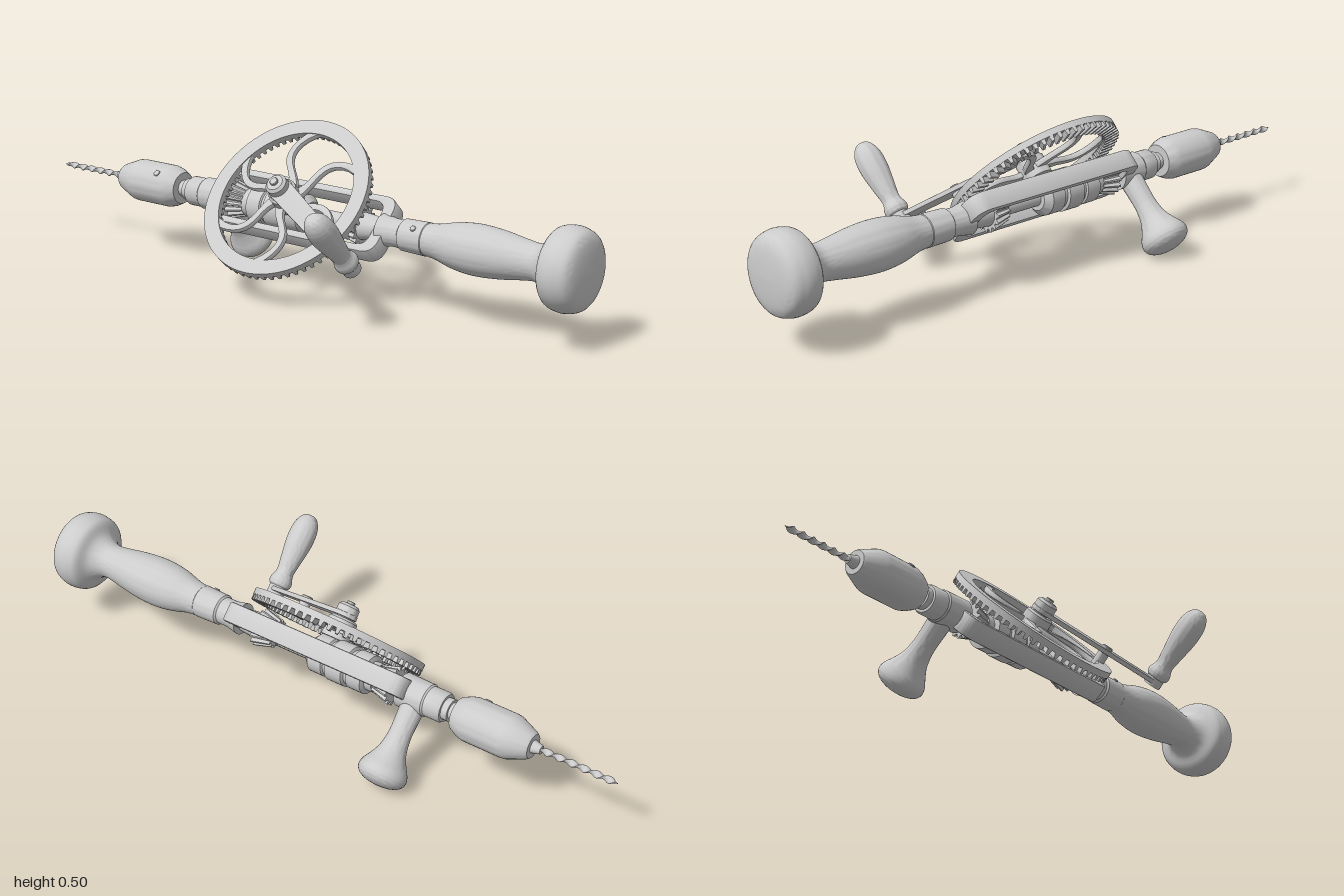
import * as THREE from 'three';
import { toCreasedNormals, mergeGeometries } from 'three/addons/utils/BufferGeometryUtils.js';

const mat = new THREE.MeshStandardMaterial({ color: 0xcccccc });
const GEAR_X = -0.015;

export function createModel() {
  const model = new THREE.Group();
  model.name = 'handDrill';
  // The tool lies rolled 45 degrees about its long (x) axis
  const drill = new THREE.Group();
  drill.name = 'drillBody';
  drill.position.set(0, 0.2325, -0.0975);
  drill.rotation.x = -Math.PI / 4;
  model.add(drill);

  const add = (name, geo, x = 0, y = 0, z = 0) => {
    const mesh = new THREE.Mesh(geo, mat);
    mesh.name = name;
    mesh.position.set(x, y, z);
    drill.add(mesh);
    return mesh;
  };
  // Turned parts: profile points are [radius, position along axis], ascending
  const turned = (pts, axis, smooth = false, seg = 40) => {
    let p = pts.map(([r, a]) => new THREE.Vector2(r, a));
    if (smooth) p = new THREE.SplineCurve(p).getPoints(48).map(v => new THREE.Vector2(Math.max(v.x, 0), v.y));
    const g = toCreasedNormals(new THREE.LatheGeometry(p, seg), 0.6);
    return axis === 'x' ? g.rotateZ(-Math.PI / 2) : g.rotateX(Math.PI / 2);
  };
  const rod = (r, z0, z1, seg = 24) => turned([[0, z0], [r, z0], [r, z1 - r * 0.15], [r * 0.85, z1], [0, z1]], 'z', false, seg);
  const extrude = (shape, depth, bevel = 0) => toCreasedNormals(new THREE.ExtrudeGeometry(shape, {
    depth, curveSegments: 20, bevelEnabled: bevel > 0, bevelSize: bevel, bevelThickness: bevel, bevelOffset: -bevel, bevelSegments: 2,
  }), 0.6);
  const roundRect = (S, w, h, r) => {
    const s = new S();
    s.moveTo(-w + r, -h);
    s.lineTo(w - r, -h).quadraticCurveTo(w, -h, w, -h + r);
    s.lineTo(w, h - r).quadraticCurveTo(w, h, w - r, h);
    s.lineTo(-w + r, h).quadraticCurveTo(-w, h, -w, h - r);
    s.lineTo(-w, -h + r).quadraticCurveTo(-w, -h, -w + r, -h);
    return s;
  };

  // Main handle with flared knob
  add('mainHandle', turned([[0.047, 0.45], [0.053, 0.5], [0.068, 0.56], [0.075, 0.63], [0.07, 0.71], [0.058, 0.79],
    [0.055, 0.835], [0.075, 0.87], [0.112, 0.89], [0.123, 0.92], [0.122, 0.95], [0.108, 0.98], [0.07, 0.994], [0, 1]], 'x', true, 56));
  add('handleFerrule', turned([[0, 0.3], [0.05, 0.3], [0.042, 0.34], [0.042, 0.375], [0.048, 0.38], [0.05, 0.46], [0.046, 0.465], [0, 0.465]], 'x'));
  add('ferrulePin', rod(0.009, 0.03, 0.053, 12), 0.43);

  // Open frame loop
  const loop = roundRect(THREE.Shape, 0.325, 0.098, 0.05);
  loop.holes.push(roundRect(THREE.Path, 0.285, 0.074, 0.035));
  add('frame', extrude(loop, 0.05, 0.006), 0, 0, -0.025);

  // Front bearing, spindle and chuck
  add('frontBearing', turned([[0, -0.44], [0.042, -0.44], [0.046, -0.433], [0.046, -0.385], [0.05, -0.38], [0.052, -0.29], [0, -0.29]], 'x'));
  add('spindle', turned([[0.026, -0.49], [0.026, 0.3]], 'x', false, 24));
  add('spindleCollar', turned([[0.026, -0.46], [0.034, -0.46], [0.034, -0.44], [0.026, -0.44]], 'x', false, 24));
  add('chuck', turned([[0, -0.73], [0.036, -0.73], [0.042, -0.722], [0.065, -0.665], [0.067, -0.65], [0.067, -0.525],
    [0.062, -0.505], [0.05, -0.48], [0, -0.48]], 'x'));
  add('chuckPin', rod(0.011, 0.05, 0.07, 12), -0.55);
  add('chuckJaws', turned([[0, -0.757], [0.013, -0.757], [0.02, -0.73], [0, -0.73]], 'x', false, 18));

  // Twisted drill bit
  const bit = new THREE.CylinderGeometry(1, 1, 0.25, 16, 80);
  const bp = bit.attributes.position;
  for (let i = 0; i < bp.count; i++) {
    const y = bp.getY(i), a = y * 80, k = Math.min(1, (y + 0.126) / 0.02);
    const u = bp.getX(i) * 0.011 * k, v = bp.getZ(i) * 0.005 * k;
    bp.setXYZ(i, u * Math.cos(a) - v * Math.sin(a), y, u * Math.sin(a) + v * Math.cos(a));
  }
  bit.rotateZ(-Math.PI / 2);
  bit.computeVertexNormals();
  add('drillBit', bit, -0.875);

  // Side knob
  add('sideKnob', turned([[0, -0.284], [0.035, -0.28], [0.062, -0.268], [0.074, -0.25], [0.071, -0.228], [0.056, -0.202],
    [0.042, -0.172], [0.035, -0.135], [0.034, -0.1], [0.037, -0.03]], 'z', true), -0.34);

  // Drum with stepped rings inside the frame
  add('gearDrum', turned([[0, -0.205], [0.045, -0.205], [0.045, -0.18], [0.06, -0.175], [0.06, -0.125], [0.054, -0.122], [0.054, -0.112],
    [0.063, -0.108], [0.063, -0.05], [0.054, -0.047], [0.054, -0.037], [0.06, -0.033], [0.06, 0.015], [0.04, 0.035], [0, 0.035]], 'x'));

  // Bevel pinions: every second pair of points round the rim is a tooth
  const pinion = (rPos, rNeg, h) => {
    const n = 16, g = new THREE.CylinderGeometry(rPos, rNeg, h, n * 4), p = g.attributes.position;
    for (let i = 0; i < p.count; i++) {
      const step = Math.round(Math.atan2(p.getX(i), p.getZ(i)) / (Math.PI * 2) * n * 4 + n * 4) % 4;
      const s = step < 2 ? 1 : 0.82;
      p.setX(i, p.getX(i) * s);
      p.setZ(i, p.getZ(i) * s);
    }
    return toCreasedNormals(g, 0.3).rotateZ(-Math.PI / 2);
  };
  add('rearPinion', pinion(0.06, 0.044, 0.06), 0.2);
  add('rearPinionHub', turned([[0, 0.225], [0.042, 0.225], [0.036, 0.29], [0, 0.29]], 'x', false, 24));
  add('frontPinion', pinion(0.044, 0.06, 0.06), -0.235);

  // Crown wheel: rim, teeth on the back, curved spokes
  const ring = new THREE.Shape().absarc(0, 0, 0.275, 0, Math.PI * 2);
  ring.holes.push(new THREE.Path().absarc(0, 0, 0.226, 0, Math.PI * 2));
  add('wheelRim', toCreasedNormals(new THREE.ExtrudeGeometry(ring, { depth: 0.02, bevelEnabled: false, curveSegments: 72 }), 0.6), GEAR_X, 0, 0.075);
  const teeth = [];
  for (let i = 0; i < 64; i++) {
    const t = new THREE.BoxGeometry(0.046, 0.015, 0.018), p = t.attributes.position;
    for (let j = 0; j < p.count; j++) if (p.getZ(j) < 0) p.setY(j, p.getY(j) * 0.6);
    t.computeVertexNormals();
    teeth.push(t.translate(0.251, 0, 0).rotateZ(i / 64 * Math.PI * 2));
  }
  add('wheelTeeth', mergeGeometries(teeth), GEAR_X, 0, 0.068);

  const left = [], right = [];
  for (let i = 0; i <= 14; i++) {
    const t = i / 14, r = 0.02 + 0.215 * t;
    const a = 0.75 * Math.sin(t * Math.PI * 0.85) * (1 - 0.25 * t);
    const w = 0.011 + 0.014 * Math.pow(Math.abs(2 * t - 1), 3);
    left.push(new THREE.Vector2(r * Math.cos(a) - w * Math.sin(a), r * Math.sin(a) + w * Math.cos(a)));
    right.unshift(new THREE.Vector2(r * Math.cos(a) + w * Math.sin(a), r * Math.sin(a) - w * Math.cos(a)));
  }
  const spoke = extrude(new THREE.Shape([...right.reverse(), ...left.reverse()]), 0.012, 0.003);
  for (let i = 0; i < 6; i++) add('wheelSpoke', spoke, GEAR_X, 0, 0.077).rotation.z = i * Math.PI / 3 + 0.3;
  add('wheelHub', rod(0.045, 0.055, 0.122, 32), GEAR_X);
  add('axle', rod(0.024, -0.05, 0.15), GEAR_X);
  add('axleNut', turned([[0, 0.137], [0.034, 0.137], [0.034, 0.158], [0.026, 0.166], [0, 0.169]], 'z', false, 28), GEAR_X);
  add('axleScrew', rod(0.013, 0.16, 0.175, 16), GEAR_X);

  // Crank arm: tapered plate from the axle to the grip
  const cx = 0.355, cy = -0.2, L = Math.hypot(cx - GEAR_X, cy);
  const arm = new THREE.Shape();
  arm.absarc(0, 0, 0.036, Math.PI / 2, Math.PI * 1.5);
  arm.absarc(L, 0, 0.026, -Math.PI / 2, Math.PI / 2);
  add('crankArm', extrude(arm, 0.01, 0.002), GEAR_X, 0, 0.127).rotation.z = Math.atan2(cy, cx - GEAR_X);
  add('crankStud', rod(0.018, 0.08, 0.147, 20), GEAR_X + (cx - GEAR_X) * 0.56, cy * 0.56);

  // Crank grip
  add('gripBase', rod(0.028, 0.118, 0.15), cx, cy);
  add('crankGrip', turned([[0.024, 0.142], [0.034, 0.15], [0.036, 0.165], [0.029, 0.185], [0.028, 0.2], [0.034, 0.24], [0.041, 0.29],
    [0.042, 0.33], [0.036, 0.362], [0.02, 0.386], [0, 0.391]], 'z', true, 36), cx, cy);

  return model;
}
